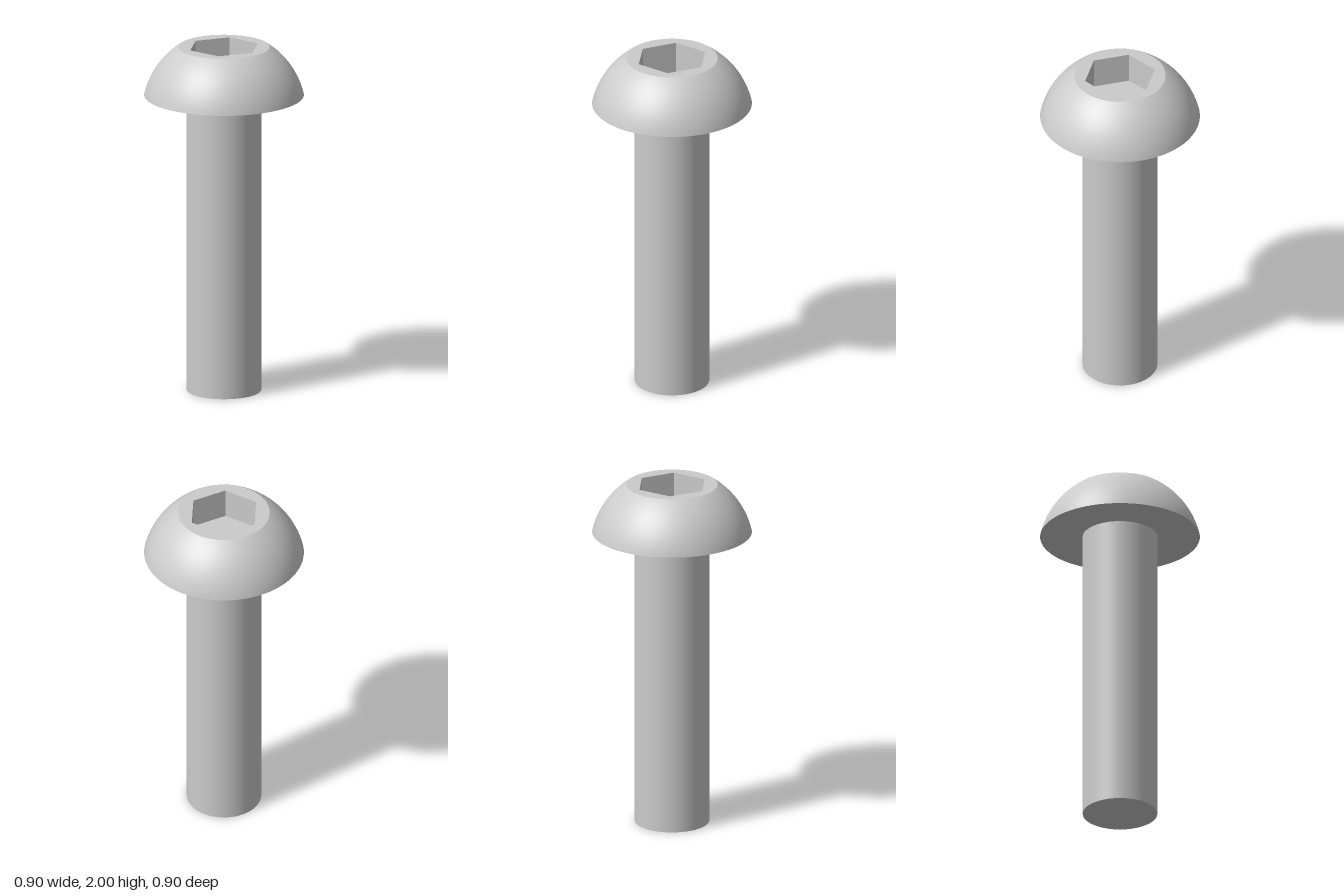
import * as THREE from 'three';

const SHANK_R = 0.21, HEAD_R = 0.45, TOP_R = 0.257, HEX_R = 0.204;
const HEAD_Y = 1.72, TOP_Y = 2, SOCKET_Y = 1.82;
const SEGMENTS = 96;

export function createModel() {
  const group = new THREE.Group();
  const steel = new THREE.MeshStandardMaterial({ color: 0xcccccc });
  const faceted = new THREE.MeshStandardMaterial({ color: 0xcccccc, flatShading: true });

  const add = (name, geometry, material = steel) => {
    const mesh = new THREE.Mesh(geometry, material);
    mesh.name = name;
    group.add(mesh);
  };
  // Revolves [radius, height] pairs; separate calls keep the edges between them sharp
  const lathe = (points, segments = SEGMENTS, start = 0) =>
    new THREE.LatheGeometry(points.map(([r, y]) => new THREE.Vector2(r, y)), segments, start);

  // Plain shank with a flat end
  add('shankEnd', lathe([[0, 0], [SHANK_R, 0]]));
  add('shank', lathe([[SHANK_R, 0], [SHANK_R, HEAD_Y]]));

  // Button head: flat underside and a spherical dome centred on the axis
  add('headUnderside', lathe([[SHANK_R, HEAD_Y], [HEAD_R, HEAD_Y]]));
  const h = TOP_Y - HEAD_Y;
  const c = (TOP_R ** 2 + h ** 2 - HEAD_R ** 2) / (2 * h);
  const domeR = Math.hypot(HEAD_R, c);
  const a0 = Math.atan2(-c, HEAD_R), a1 = Math.atan2(h - c, TOP_R);
  const dome = Array.from({ length: 21 }, (_, i) => {
    const a = a0 + (a1 - a0) * i / 20;
    return [domeR * Math.cos(a), HEAD_Y + c + domeR * Math.sin(a)];
  });
  add('headDome', lathe(dome));

  // Flat top with a hexagonal opening, corners on the x axis
  const top = new THREE.Shape().absarc(0, 0, TOP_R, 0, Math.PI * 2);
  const corners = Array.from({ length: 6 }, (_, i) =>
    new THREE.Vector2(HEX_R * Math.cos(i * Math.PI / 3), HEX_R * Math.sin(i * Math.PI / 3)));
  top.holes.push(new THREE.Path(corners));
  add('headTop', new THREE.ShapeGeometry(top, SEGMENTS).rotateX(-Math.PI / 2).translate(0, TOP_Y, 0));

  // Hex socket: walls facing inward, then the floor
  add('hexSocket', lathe([[HEX_R, TOP_Y], [HEX_R, SOCKET_Y], [0, SOCKET_Y]], 6, Math.PI / 2), faceted);

  return group;
}
